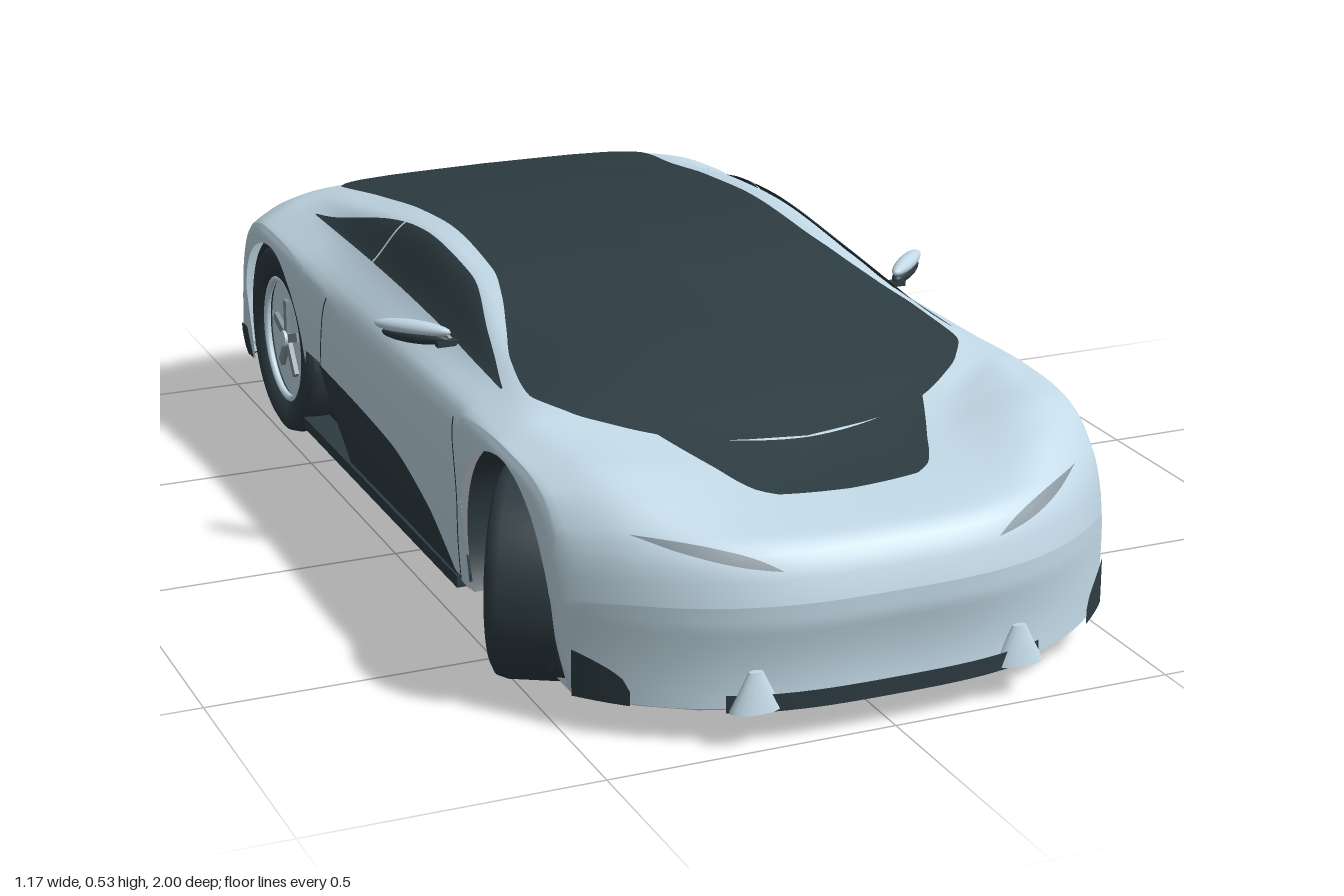
import * as THREE from 'three';
import { mergeGeometries, mergeVertices } from 'three/addons/utils/BufferGeometryUtils.js';

const mat = (name, color) => new THREE.MeshStandardMaterial({ name, color, side: THREE.DoubleSide });

// Monotone cubic interpolation through [t, value] points, t ascending
function tab(p, t) {
  const n = p.length - 1;
  if (t <= p[0][0]) return p[0][1];
  if (t >= p[n][0]) return p[n][1];
  let i = 0;
  while (t > p[i + 1][0]) i++;
  const d = k => (p[k + 1][1] - p[k][1]) / (p[k + 1][0] - p[k][0]);
  const slope = k => {
    if (k === 0) return d(0);
    if (k === n) return d(n - 1);
    const a = d(k - 1), b = d(k);
    return a * b <= 0 ? 0 : 2 * a * b / (a + b);
  };
  const h = p[i + 1][0] - p[i][0], u = (t - p[i][0]) / h, v = 1 - u;
  return p[i][1] * (1 + 2 * u) * v * v + slope(i) * h * u * v * v
    + p[i + 1][1] * u * u * (3 - 2 * u) - slope(i + 1) * h * u * u * v;
}

// Body stations: s, centre height, roof edge x, y, belt x, y, shoulder y, half width
const stations = [
  [-1, .23, .32, .225, .42, .22, .21, .495], [-.985, .31, .32, .305, .42, .295, .275, .497],
  [-.96, .375, .32, .37, .42, .355, .33, .5], [-.9, .435, .33, .43, .42, .415, .385, .505],
  [-.8, .46, .345, .45, .42, .435, .405, .508], [-.6, .49, .36, .475, .42, .437, .402, .508],
  [-.4, .515, .345, .505, .42, .438, .39, .502], [-.2, .526, .335, .521, .42, .436, .386, .5],
  [0, .515, .338, .507, .42, .43, .386, .5], [.25, .475, .38, .45, .425, .42, .39, .502],
  [.5, .42, .385, .413, .43, .41, .393, .505], [.65, .376, .26, .383, .41, .403, .39, .505],
  [.75, .35, .22, .364, .4, .4, .385, .503], [.85, .336, .22, .347, .4, .38, .368, .5],
  [.94, .325, .22, .328, .4, .335, .322, .498], [.965, .31, .22, .311, .4, .31, .3, .497],
  [.985, .283, .22, .283, .4, .28, .27, .496], [1, .235, .22, .235, .4, .231, .222, .495],
];
const columns = [1, 2, 3, 4, 5, 6, 7].map(k => stations.map(r => [r[0], r[k]]));
const at = s => columns.map(c => tab(c, s));

// Stations curve in plan at the nose and tail
const nose = x => .22 * Math.abs(2 * x) ** 3, tail = x => .05 * (2 * x) ** 4;
const zOf = (x, s) => s > .45 ? s - nose(x) * (s - .45) / .55 : s < -.6 ? s + tail(x) * (-.6 - s) / .4 : s;
const sOf = (x, z) => z > .45 ? .45 + (z - .45) / (1 - nose(x) / .55)
  : z < -.6 ? -.6 - (-.6 - z) / (1 - tail(x) / .4) : z;

function topY(x, s) {
  const [c, ex, ey, bx, by, sy, w] = at(s);
  return tab([[0, c], [ex * .6, c + (ey - c) * .3], [ex, ey], [bx, by], [w * .97, sy]], Math.abs(x));
}
function sideX(y, s) {
  const sy = at(s)[5], w = at(s)[6];
  return tab([[.05, w * .955], [sy * .5, w * .99], [sy - .06, w], [sy - .02, w * .993], [sy, w * .97]], y);
}

// Wheel arches; dip is how far the liner wraps below the half circle
const arches = [{ z: .548, y: .175, r: .2, dip: .55 }, { z: -.71, y: .18, r: .2, dip: 0 }];
const archAt = z => arches.find(a => Math.abs(z - a.z) < a.r);
// Lower edge of the flanks, with wheel arches and the side intake
function lowY(z) {
  const a = archAt(z);
  if (a) return a.y + Math.sqrt(a.r ** 2 - (z - a.z) ** 2);
  if (z < -.9) return .08;
  if (z < -.3) return tab([[-.415, .23], [-.3, .08]], z);
  return .06;
}
// Half section: t = 0 at the centre line of the top, 1 at the lower edge
function section(s, t) {
  const [, , , , , sy, w] = at(s);
  if (t < .65) {
    const x = w * .97 * t / .65;
    return [x, topY(x, s)];
  }
  const y = sy + (Math.min(lowY(zOf(.5, s)), sy - .008) - sy) * (t - .65) / .35;
  return [sideX(y, s), y];
}

function grid(nu, nv, f) {
  const pos = [], idx = [];
  for (let i = 0; i <= nu; i++) for (let j = 0; j <= nv; j++) {
    pos.push(...f(i / nu, j / nv));
    if (i < nu && j < nv) {
      const a = i * (nv + 1) + j, b = a + nv + 1;
      idx.push(a, b, a + 1, b, b + 1, a + 1);
    }
  }
  const g = new THREE.BufferGeometry();
  g.setAttribute('position', new THREE.Float32BufferAttribute(pos, 3));
  g.setIndex(idx);
  g.computeVertexNormals();
  return g;
}

export function createModel() {
  const root = new THREE.Group();
  const silver = mat('silver paint', 0xc2d9e6), dark = mat('dark glass and trim', 0x2d3c42);
  const rubber = mat('tyre rubber', 0x2d3b41), under = mat('underside grey', 0x72797f);
  const grey = mat('lamp and spoke grey', 0x84939c);
  const add = (name, geo, m, parent = root) => {
    const mesh = new THREE.Mesh(geo, m);
    mesh.name = name;
    parent.add(mesh);
    return mesh;
  };
  const mix = (a, b, t) => a + (b - a) * t;
  const onTop = (x, z) => [x, topY(x, sOf(x, z)) + .006, z];
  const onSide = (k, y, z) => [k * (sideX(y, sOf(.5, z)) + .004), y, z];

  // Painted shell with nose and tail joined smoothly
  const shell = grid(180, 88, (a, b) => {
    const s = mix(-1, 1, a), j = b * 2 - 1, [x, y] = section(s, Math.abs(j));
    return [Math.sign(j) * x, y, zOf(x, s)];
  });
  const ends = [1, -1].map(s => grid(44, 40, (a, b) => {
    const [x, y] = section(s, a), px = s * x * (b * 2 - 1);
    return [px, y, zOf(px, s) - (s > 0 ? .015 * Math.sin(Math.PI * Math.max(0, (.2 - y) / .2)) : 0)
      * (1 - (2 * b - 1) ** 2)];
  }));
  const body = mergeGeometries([shell, ...ends]);
  body.deleteAttribute('normal');
  const joined = mergeVertices(body, 1e-4);
  joined.computeVertexNormals();
  add('bodyShell', joined, silver);

  // Glass canopy and dark bonnet inset
  const canopy = [[-.868, .2], [-.855, .27], [-.83, .31], [-.8, .325], [-.6, .305], [-.3, .295], [0, .305], [.1, .325],
    [.2, .355], [.3, .385], [.42, .4], [.5, .36], [.55, .31], [.6, .245], [.64, .16], [.66, 0]];
  add('canopyGlass', grid(130, 44, (a, b) =>
    onTop((b * 2 - 1) * tab(canopy, mix(-.868, .66, a)), mix(-.868, .66, a))), dark);
  add('bonnetInset', grid(20, 24, (a, b) => {
    const x = (b * 2 - 1) * tab([[0, .245], [.5, .195], [.9, .155], [1, .125]], a);
    return onTop(x, mix(.664 - 1.1 * x * x, .825 - .6 * x * x, a));
  }), dark);

  // Rear diffuser and front lip
  add('rearDiffuser', grid(32, 6, (a, b) => {
    const x = mix(-.475, .475, a), top = tab([[0, .2], [.28, .2], [.33, .17], [.48, .15]], Math.abs(x));
    return [x, mix(.075, top, b), zOf(x, -1) - .004];
  }), dark);
  add('frontLip', grid(20, 2, (a, b) => {
    const x = mix(-.28, .28, a);
    return [x, mix(.055, .085, b), zOf(x, 1) - .002];
  }), dark);

  // Floor, narrowed between the wheels and rising towards the tail
  add('floor', grid(160, 12, (a, b) => {
    const s = mix(-.995, .985, a), z = zOf(.45, s), x = (b * 2 - 1) * (archAt(z) ? .27 : .475);
    return [x, .055 + Math.max(0, -.6 - s) * .12, zOf(x, s)];
  }), under);

  // Parts found on both sides
  const windowTop = [[-.68, .06], [-.5, .6], [-.3, .88], [0, .9], [.2, .75], [.36, .1]];
  for (const k of [1, -1]) {
    for (const [z0, z1] of [[-.68, -.338], [-.331, .36]]) add('sideWindow', grid(40, 12, (a, b) => {
      const z = mix(z0, z1, a), [, ex, , bx] = at(z);
      return onTop(k * mix(bx, ex, mix(.02, tab(windowTop, z), b)), z);
    }), dark);
    const skirtTop = [[-.415, .23], [-.02, .21], [.17, .16], [.3, .065]];
    add('sideSkirt', grid(40, 8, (a, b) => {
      const z = mix(-.415, .3, a);
      return onSide(k, mix(lowY(z), tab(skirtTop, z), b), z);
    }), dark);
    add('sill', new THREE.BoxGeometry(.05, .022, .87), dark).position.set(k * .465, .059, -.135);
    // Door seams
    add('doorSeam', grid(20, 1, (a, b) => onSide(k, mix(.07, .375, a),
      tab([[.07, .31], [.25, .345], [.375, .33]], mix(.07, .375, a)) + b * .005)), dark);
    add('doorSeam', grid(12, 1, (a, b) => onSide(k, mix(.235, .375, a), mix(-.41, -.37, a) + b * .005)), dark);
    add('bumperCorner', grid(8, 6, (a, b) => {
      const x = mix(.41, .48, a);
      return [k * (x + .003), mix(.06, mix(.085, .14, Math.sqrt(a)), b), zOf(x, 1) + .006];
    }), dark);
    add('rearCorner', grid(6, 4, (a, b) => onSide(k, mix(.08, .15, b), mix(-.915, -.95, a))), dark);
    // Headlamp slits
    add('headlampSlit', grid(24, 3, (a, b) => {
      const x = mix(.19, .4, a), s = mix(.985, .945, a) + (b - .5) * .017 * Math.sin(Math.PI * a);
      return [k * x, topY(x, s) + .005, zOf(x, s) + .004];
    }), grey);
    for (const [x, z, depth] of [[.235, .972, .5], [.31, -.985, .3]]) {
      const fin = add('bumperFin', new THREE.CylinderGeometry(.012, .045, .065, 16), silver);
      fin.position.set(k * x, z > 0 ? .092 : .11, z);
      fin.scale.z = depth;
    }
    // Mirror
    const mirror = new THREE.Group();
    mirror.name = 'mirror';
    mirror.position.set(k * .483, .451, .075);
    mirror.rotation.y = k * .8;
    root.add(mirror);
    const ball = new THREE.SphereGeometry(1, 20, 12);
    add('mirrorCap', ball, silver, mirror).scale.set(.075, .014, .016);
    const base = add('mirrorBase', ball, dark, mirror);
    base.scale.set(.066, .014, .016);
    base.position.set(-k * .006, -.014, 0);
    const stalk = add('mirrorStalk', new THREE.BoxGeometry(.05, .01, .015), dark);
    stalk.position.set(k * .43, .43, .12);

    // Wheels and arch liners
    arches.forEach((a, i) => {
      const liner = add('archLiner', new THREE.CylinderGeometry(a.r + .005, a.r + .005, .215, 40, 1, true,
        -a.dip, Math.PI + 2 * a.dip), dark);
      liner.rotation.z = Math.PI / 2;
      liner.position.set(k * .377, a.y, a.z);
      const wall = add('archWall', new THREE.CircleGeometry(a.r + .005, 32, 0, Math.PI), dark);
      wall.rotation.y = Math.PI / 2;
      wall.position.set(k * .27, a.y, a.z);
      const R = i ? .187 : .179, wheel = new THREE.Group();
      wheel.name = i ? 'rearWheel' : 'frontWheel';
      wheel.position.set(k * (i ? .425 : .442), R, i ? -.71 : .58);
      wheel.rotation.y = (i ? 0 : -.52) + (k < 0 ? Math.PI : 0);
      root.add(wheel);
      const profile = [[.6, -.01], [.64, -.06], [.9, -.07], [.97, -.063], [1, -.045], [1, .045], [.97, .063], [.9, .07], [.67, .062], [.64, .01]];
      add('tyre', new THREE.LatheGeometry(profile.map(p => new THREE.Vector2(p[0] * R, p[1])), 48).rotateZ(-Math.PI / 2), rubber, wheel);
      add('rimDish', new THREE.CylinderGeometry(R * .64, R * .64, .06, 40).rotateZ(Math.PI / 2), silver, wheel).position.x = .015;
      add('rimRing', new THREE.TorusGeometry(R * .64, .007, 8, 40).rotateY(Math.PI / 2), silver, wheel).position.x = .055;
      add('hub', new THREE.CylinderGeometry(.016, .016, .02, 20).rotateZ(Math.PI / 2), silver, wheel).position.x = .05;
      for (let n = 0; n < 5; n++) {
        const spoke = add('spoke', new THREE.BoxGeometry(.012, R * .4, .018).translate(.048, R * .22, 0), grey, wheel);
        spoke.rotation.x = n * Math.PI * .4;
      }
      add('axle', new THREE.CylinderGeometry(.04, .04, .14, 20).rotateZ(Math.PI / 2), grey, wheel).position.x = -.1;
    });
  }
  return root;
}
